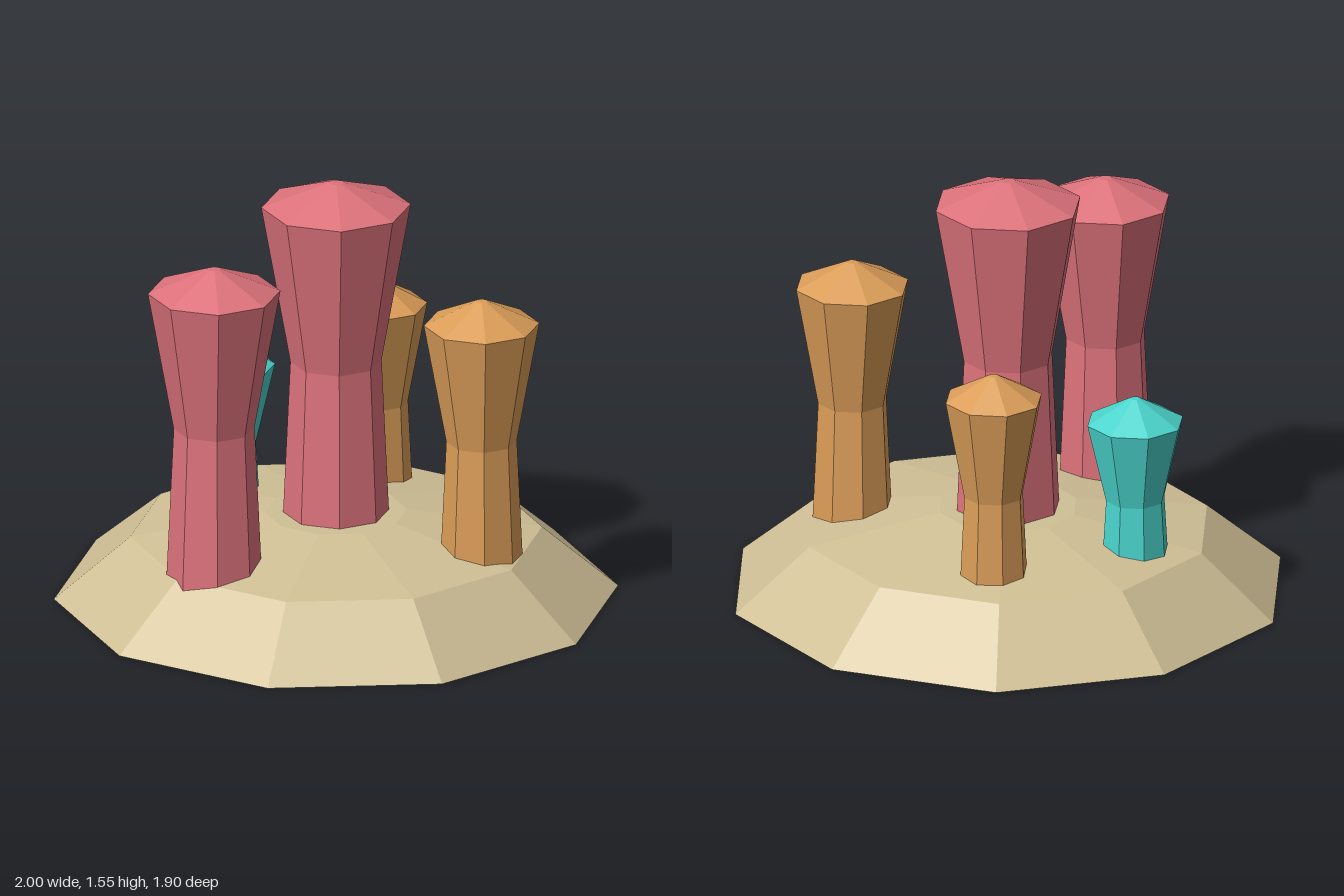
import * as THREE from 'three';

const mat = (name, color) => {
  const m = new THREE.MeshStandardMaterial({ color });
  m.name = name;
  return m;
};

// Faceted solid of revolution; the profile runs from the bottom axis to the top axis
function facetedLathe(profile, sides) {
  const points = profile.map(([r, y]) => new THREE.Vector2(r, y));
  const geometry = new THREE.LatheGeometry(points, sides).toNonIndexed();
  geometry.computeVertexNormals();
  return geometry;
}

export function createModel() {
  const sand = mat('sand', 0xd0c096);
  const pink = mat('pink', 0xdd727b);
  const orange = mat('orange', 0xdb9d58);
  const turquoise = mat('turquoise', 0x4ad4cc);

  const model = new THREE.Group();
  model.name = 'tubeSpongeCluster';

  // Ten-sided mound, raised a hair so the tube feet show underneath
  const mound = new THREE.Mesh(
    facetedLathe([[0, 0.002], [1, 0.002], [0.73, 0.23], [0.25, 0.31], [0, 0.31]], 10), sand);
  mound.rotation.y = Math.PI / 10;
  mound.name = 'seabedMound';
  model.add(mound);

  // Eight-sided tubes: foot, waist, flared rim and shallow domed cap
  const tubes = [
    ['centreTube', pink, 0, 0, 0.265, 1.46],
    ['frontRightTube', pink, -0.457, 0.36, 0.235, 1.28],
    ['frontLeftTube', orange, 0.497, 0.268, 0.205, 1.1],
    ['backLeftTube', orange, 0.18, -0.457, 0.176, 0.916],
    ['backRightTube', turquoise, -0.365, -0.365, 0.175, 0.734],
  ];
  for (const [name, material, x, z, rim, height] of tubes) {
    const tube = new THREE.Mesh(facetedLathe([
      [0, 0],
      [rim * 0.76, 0],
      [rim * 0.61, height * 0.6],
      [rim, height],
      [rim * 0.1, height + 0.088],
      [0, height + 0.088],
    ], 8), material);
    tube.position.set(x, 0, z);
    tube.name = name;
    model.add(tube);
  }
  return model;
}
